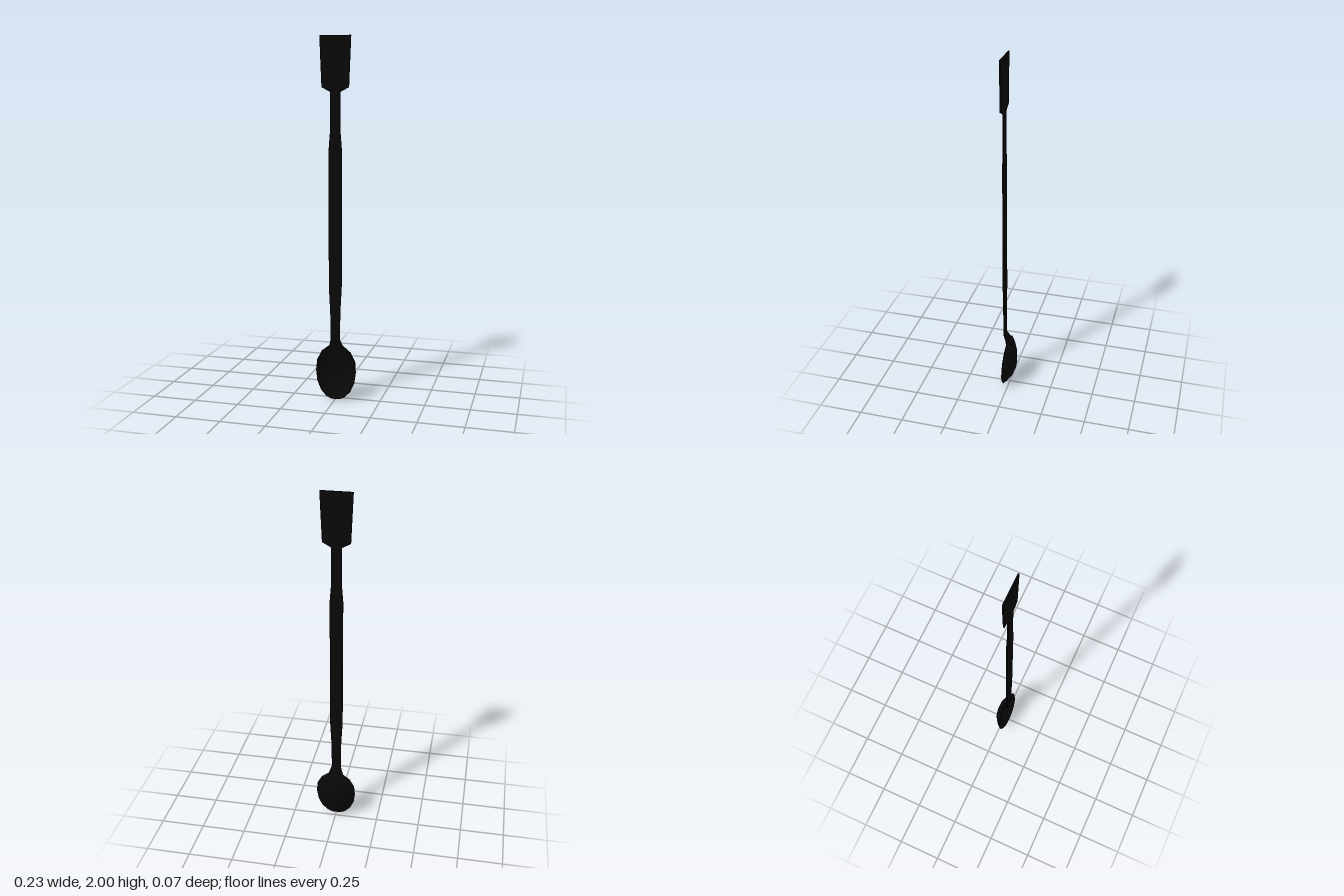
import * as THREE from 'three';

// Skins a list of equal-length rings of [x, y, z] points and caps both ends.
function loft(rings) {
  const n = rings[0].length;
  const index = [];
  for (let i = 0; i < rings.length - 1; i++) {
    for (let j = 0; j < n; j++) {
      const a = i * n + j, b = i * n + (j + 1) % n;
      index.push(a, b, b + n, a, b + n, a + n);
    }
  }
  const last = (rings.length - 1) * n;
  for (let j = 1; j < n - 1; j++) {
    index.push(0, j + 1, j);
    index.push(last, last + j, last + j + 1);
  }
  const geometry = new THREE.BufferGeometry();
  geometry.setAttribute('position', new THREE.Float32BufferAttribute(rings.flat(2), 3));
  geometry.setIndex(index);
  geometry.computeVertexNormals();
  return geometry;
}

// Flat strip through sections of [height, half width, middle z].
function strip(sections, thickness = 0.007) {
  const h = thickness / 2;
  return loft(sections.map(([y, w, z]) => [
    [-w, y, z + h], [w, y, z + h], [w, y, z - h], [-w, y, z - h],
  ]));
}

export function createModel() {
  const group = new THREE.Group();
  const black = new THREE.MeshStandardMaterial({ color: 0x080808, flatShading: true });
  const add = (name, geometry) => {
    const mesh = new THREE.Mesh(geometry, black);
    mesh.name = name;
    group.add(mesh);
  };

  // Long handle, widest in the middle, bending back into the bowl rim
  add('handle', strip([
    [0.298, 0.044, 0.01], [0.315, 0.036, 0.014], [0.345, 0.026, 0.029], [0.5, 0.028, 0.029],
    [0.65, 0.036, 0.029], [1.4, 0.036, 0.029], [1.5, 0.028, 0.029], [1.705, 0.028, 0.029],
  ]));

  // Flat flaring blade at the top
  add('blade', strip([[1.705, 0.028, 0.029], [1.73, 0.075, 0.029], [2, 0.086, 0.029]]));

  // Egg-shaped bowl: half outline from tip to neck, mirrored
  const half = [
    [0.022, 0.002], [0.053, 0.016], [0.085, 0.05], [0.107, 0.1],
    [0.115, 0.16], [0.11, 0.22], [0.083, 0.272], [0.042, 0.304],
  ];
  const outline = [...half, ...half.map(([x, y]) => [-x, y]).reverse()];
  const ring = (scale, depth, lift) => {
    const centre = 0.153 - 0.02 * (1 - scale); // deepest point sits toward the tip
    return outline.map(([x, y]) => {
      const yy = centre + (y - 0.153) * scale;
      return [x * scale, yy, 0.031 - 0.078 * yy - depth + lift];
    });
  };
  // Scale and depth of each ring, from the bottom out to the rim
  const steps = [[0.22, 0.055], [0.55, 0.043], [0.86, 0.018], [1, 0]];
  const outside = steps.map(([s, d]) => ring(s, d, -0.002));
  const inside = steps.map(([s, d]) => ring(s * 0.97, d, 0.003)).reverse();
  add('bowl', loft([...outside, ...inside]));

  return group;
}
